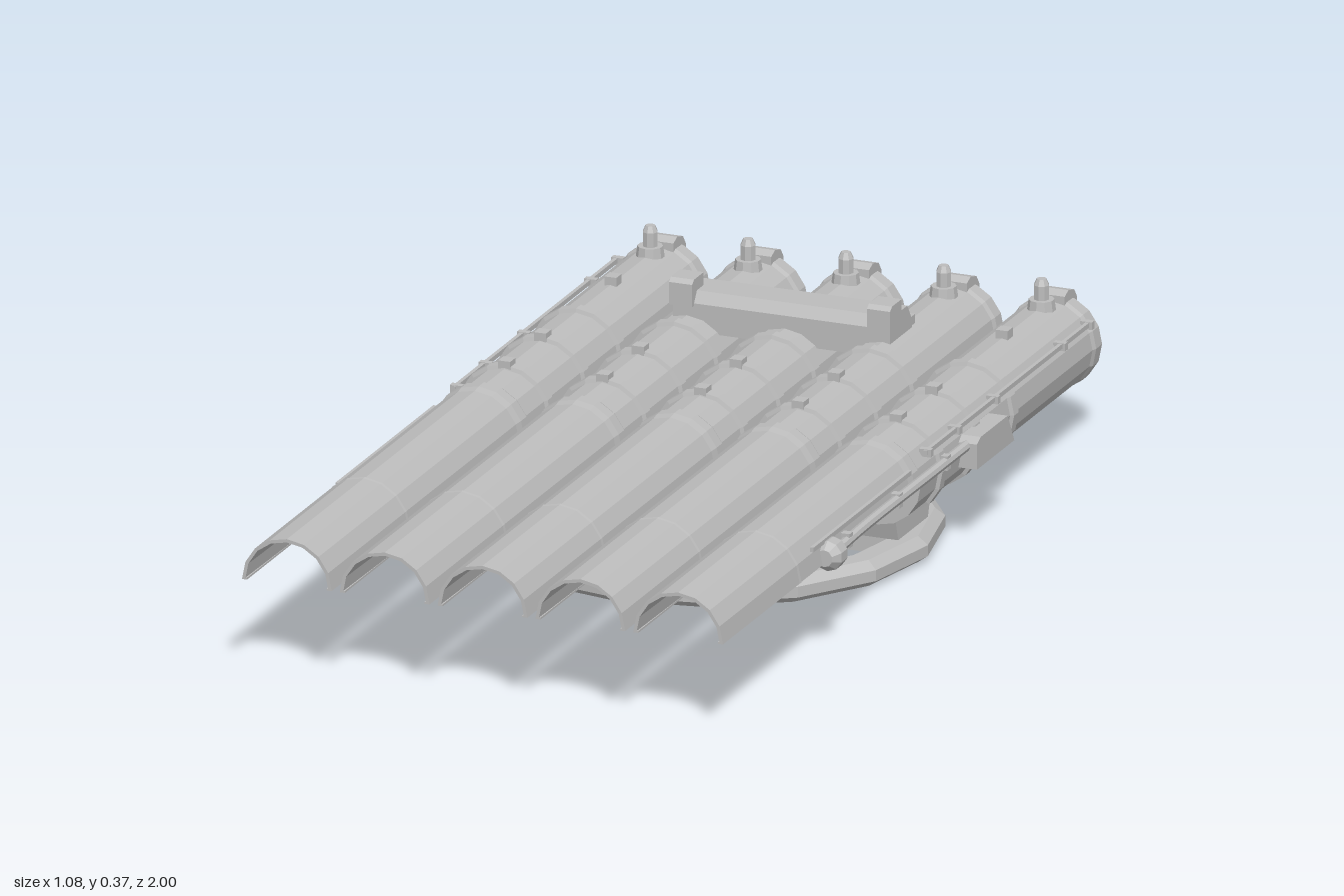
import * as THREE from 'three';

const SPACING = 0.2115, TUBE_Y = 0.2, BASE_Z = -0.145;
const grey = new THREE.MeshStandardMaterial({ color: 0xbcbcbc, flatShading: true, side: THREE.DoubleSide });
grey.name = 'grey';

const V = (x, y) => new THREE.Vector2(x, y);

function add(parent, name, geometry, x = 0, y = 0, z = 0) {
  const m = new THREE.Mesh(geometry, grey);
  m.name = name;
  m.position.set(x, y, z);
  parent.add(m);
  return m;
}

const box = (parent, name, w, h, d, x, y, z) => add(parent, name, new THREE.BoxGeometry(w, h, d), x, y, z);

// Lathe around the z axis; profile points are [radius, z]
function latheZ(points, segments = 16, start = 0, length = Math.PI * 2) {
  const g = new THREE.LatheGeometry(points.map(p => V(...p)), segments, start, length);
  return g.rotateX(Math.PI / 2);
}

// Side profile of [z, y] points given a width along x
function prism(points, width) {
  const g = new THREE.ExtrudeGeometry(new THREE.Shape(points.map(p => V(...p))), { depth: width, bevelEnabled: false });
  return g.rotateY(-Math.PI / 2).scale(-1, 1, -1).rotateY(Math.PI).translate(width / 2, 0, 0);
}

function makeTube() {
  const tube = new THREE.Group();
  tube.name = 'tube';

  // Closed rear barrel with a collar at the back
  add(tube, 'rearBarrel', latheZ([
    [0, -0.99], [0.082, -0.99], [0.096, -0.978], [0.097, -0.945], [0.093, -0.935], [0.093, -0.04], [0, -0.04],
  ]));

  // Open half-round front shell, tapering inside
  add(tube, 'frontShell', latheZ([
    [0.08, -0.038], [0.093, -0.038], [0.099, -0.028], [0.099, 0.0], [0.096, 0.02], [0.096, 0.59],
    [0.098, 0.593], [0.097, 0.6], [0.097, 1], [0.09, 1], [0.078, 0], [0.08, -0.038],
  ], 8, Math.PI / 2, Math.PI));
  for (const s of [-1, 1]) box(tube, 'shellEdge', 0.008, 0.004, 1.0, s * 0.09, 0.002, 0.5);

  // Clamping bands
  for (const z of [-0.52, -0.335, -0.147]) {
    add(tube, 'band', latheZ([[0.092, z - 0.015], [0.101, z - 0.012], [0.101, z + 0.012], [0.092, z + 0.015]]));
  }

  // Small lugs along the top
  for (const z of [-0.7, -0.333, -0.147]) box(tube, 'topLug', 0.026, 0.025, 0.028, 0, 0.097, z);

  // Rear latch and upright pin
  add(tube, 'rearLatch', prism([
    [-0.935, 0.085], [-0.935, 0.105], [-0.955, 0.113], [-0.985, 0.105], [-1.0, 0.085], [-1.0, 0.035], [-0.98, 0.035],
  ], 0.066));
  add(tube, 'pinBase', new THREE.CylinderGeometry(0.026, 0.03, 0.03, 10), 0, 0.095, -0.894);
  add(tube, 'pin', new THREE.LatheGeometry([V(0.016, 0.1), V(0.016, 0.14), V(0.01, 0.153), V(0, 0.153)], 8), 0, 0, -0.894);
  return tube;
}

function makeBase() {
  const base = new THREE.Group();
  base.name = 'base';
  base.position.z = BASE_Z;

  // Slightly oval ground ring with bevelled rims
  add(base, 'groundRing', new THREE.LatheGeometry([
    V(0.415, 0.012), V(0.425, 0), V(0.467, 0), V(0.488, 0.015), V(0.488, 0.038),
    V(0.467, 0.055), V(0.425, 0.055), V(0.415, 0.043), V(0.415, 0.012),
  ], 16).scale(1, 1, 0.966));

  // Spokes and hub
  for (let i = 0; i < 8; i++) {
    const a = i * Math.PI / 4;
    const spoke = box(base, 'spoke', 0.26, 0.038, 0.026, Math.cos(a) * 0.295, 0.03, -Math.sin(a) * 0.295);
    spoke.rotation.y = a;
  }
  add(base, 'hub', new THREE.CylinderGeometry(0.176, 0.193, 0.065, 16), 0, 0.0435, 0);
  add(base, 'turntable', new THREE.CylinderGeometry(0.207, 0.162, 0.05, 16), 0, 0.1, 0);
  return base;
}

function makeSideRails(side) {
  // Thin rails and brackets along an outer tube
  const g = new THREE.Group();
  g.name = 'sideRails';
  box(g, 'frontRail', 0.008, 0.01, 0.51, side * 0.513, 0.245, 0.265);
  box(g, 'rearRail', 0.008, 0.01, 0.86, side * 0.51, 0.257, -0.51);
  for (const z of [-0.09, -0.24, -0.44, -0.79, -0.93]) box(g, 'railBracket', 0.026, 0.016, 0.014, side * 0.507, 0.255, z);
  return g;
}

export function createModel() {
  const root = new THREE.Group();
  root.name = 'tubeLauncher';
  const body = new THREE.Group();
  body.name = 'body';
  body.position.x = -0.015;
  root.add(body);

  body.add(makeBase());

  // Cross beam carrying the tubes
  add(body, 'crossBeam', prism([[-0.065, 0.07], [-0.04, 0.15], [-0.245, 0.15], [-0.22, 0.07]], 0.914));

  // Row of five tubes
  for (let i = -2; i <= 2; i++) {
    const tube = makeTube();
    tube.position.set(i * SPACING, TUBE_Y, 0);
    body.add(tube);
  }

  // Top crosspiece with a sloped front edge and raised end blocks
  const top = new THREE.Group();
  top.name = 'topCrosspiece';
  top.position.x = -0.007;
  body.add(top);
  add(top, 'crosspieceBeam', prism([
    [-0.575, 0.26], [-0.575, 0.32], [-0.59, 0.343], [-0.665, 0.343], [-0.69, 0.305], [-0.69, 0.26],
  ], 0.47));
  for (const s of [-1, 1]) {
    add(top, 'endBlock', prism([[-0.565, 0.315], [-0.565, 0.362], [-0.575, 0.37], [-0.625, 0.37], [-0.625, 0.315]], 0.05), s * 0.214);
    box(top, 'crosspieceFoot', 0.03, 0.04, 0.1, s * 0.218, 0.28, -0.635);
  }

  body.add(makeSideRails(1), makeSideRails(-1));

  // Control box, conduit and rounded end on the left side
  add(body, 'controlBox', prism([[-0.25, 0.172], [-0.25, 0.225], [-0.27, 0.235], [-0.41, 0.235], [-0.445, 0.172]], 0.045), 0.528);
  const path = new THREE.CatmullRomCurve3([
    new THREE.Vector3(0.525, 0.212, 0.44), new THREE.Vector3(0.525, 0.218, 0.3),
    new THREE.Vector3(0.525, 0.218, -0.1), new THREE.Vector3(0.525, 0.218, -0.28),
  ]);
  add(body, 'conduit', new THREE.TubeGeometry(path, 12, 0.011, 8));
  add(body, 'conduitEnd', latheZ([[0, -0.035], [0.018, -0.035], [0.032, -0.015], [0.032, 0.015], [0.018, 0.033], [0, 0.033]], 10), 0.522, 0.214, 0.445);
  for (const z of [0.36, 0.1, -0.15]) box(body, 'conduitClip', 0.03, 0.03, 0.018, 0.517, 0.217, z);

  return root;
}
